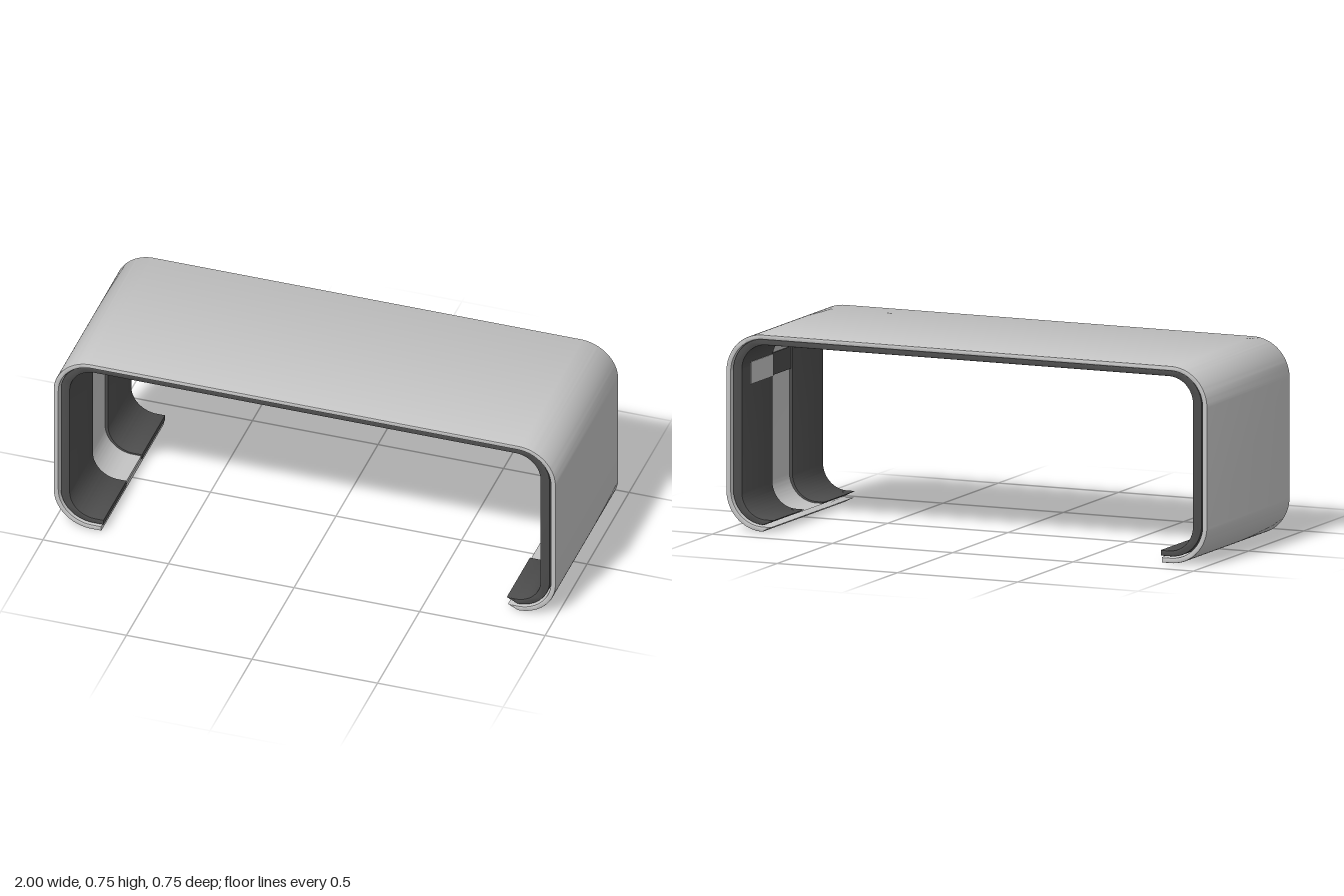
import * as THREE from 'three';
import { toCreasedNormals } from 'three/addons/utils/BufferGeometryUtils.js';

const shellGrey = new THREE.MeshStandardMaterial({ color: 0xc4c4c4 });
shellGrey.name = 'shellGrey';
const liningGrey = new THREE.MeshStandardMaterial({ color: 0x4c4c4c });
liningGrey.name = 'liningGrey';

// C-shaped section between two rounded outlines, open between x = -end and x = end at the bottom
function bandShape(outer, inner, end) {
  const s = new THREE.Shape();
  const q = Math.PI / 2;
  const corners = (o) => {
    const cx = o.x - o.r, lo = o.bottom + o.r, hi = o.top - o.r;
    return [[cx, lo, -q], [cx, hi, 0], [-cx, hi, q], [-cx, lo, 2 * q]];
  };
  s.moveTo(end, outer.bottom);
  for (const [x, y, a] of corners(outer)) s.absarc(x, y, outer.r, a, a + q, false);
  s.lineTo(-end, outer.bottom);
  s.lineTo(-end, inner.bottom);
  for (const [x, y, a] of corners(inner).reverse()) s.absarc(x, y, inner.r, a + q, a, true);
  s.lineTo(end, inner.bottom);
  s.closePath();
  return s;
}

function band(name, material, shape, z0, z1, bevel = 0) {
  const g = new THREE.ExtrudeGeometry(shape, {
    depth: z1 - z0 - 2 * bevel, curveSegments: 14,
    bevelEnabled: bevel > 0, bevelSize: bevel, bevelThickness: bevel,
    bevelOffset: -bevel, bevelSegments: 2,
  });
  g.translate(0, 0, z0 + bevel);
  const mesh = new THREE.Mesh(toCreasedNormals(g, 0.5), material);
  mesh.name = name;
  return mesh;
}

function plate(name, material, w, h, d, x, y, z) {
  const mesh = new THREE.Mesh(new THREE.BoxGeometry(w, h, d), material);
  mesh.name = name;
  mesh.position.set(x, y, z);
  return mesh;
}

export function createModel() {
  const model = new THREE.Group();
  model.name = 'wrapAroundCover';

  // Outer shell
  const shell = bandShape(
    { x: 1, bottom: 0, top: 0.755, r: 0.15 },
    { x: 0.98, bottom: 0.02, top: 0.737, r: 0.132 }, 0.81);
  model.add(band('outerShell', shellGrey, shell, -0.375, 0.375, 0.004));

  // Dark lining in two halves, leaving a channel along the middle
  const liningOuter = { x: 0.974, bottom: 0.025, top: 0.738, r: 0.128 };
  const lining = bandShape(liningOuter,
    { x: 0.937, bottom: 0.046, top: 0.715, r: 0.1 }, 0.803);
  model.add(band('backLining', liningGrey, lining, -0.368, -0.09, 0.003));
  model.add(band('frontLining', liningGrey, lining, 0.09, 0.368, 0.003));

  // Light strip on the channel floor
  const strip = bandShape(liningOuter,
    { x: 0.95, bottom: 0.04, top: 0.722, r: 0.11 }, 0.806);
  model.add(band('centreStrip', shellGrey, strip, -0.09, 0.09));

  // Light label plate and dark crossing patch on each inner wall
  for (const side of [-1, 1]) {
    model.add(plate('wallPanel', shellGrey, 0.006, 0.085, 0.2, side * 0.936, 0.59, -0.19));
    model.add(plate('stripPatch', liningGrey, 0.008, 0.085, 0.18, side * 0.948, 0.59, 0));
  }
  return model;
}
